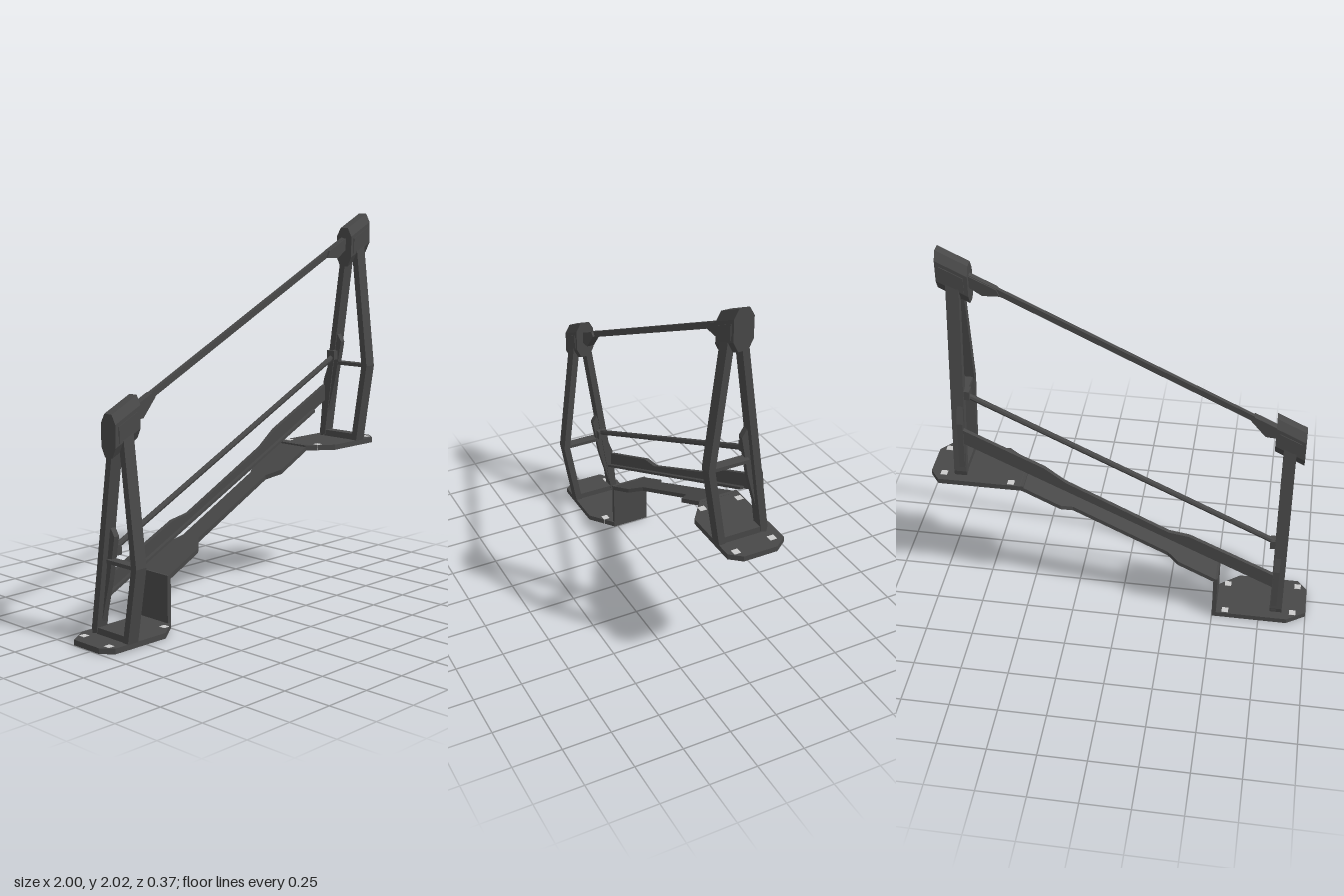
import * as THREE from 'three';

const dark = new THREE.MeshStandardMaterial({ color: 0x484848, flatShading: true });
const pale = new THREE.MeshStandardMaterial({ color: 0xcccccc, flatShading: true });
const SLOPE = 0.49;

function prism(points, depth) {
  const shape = new THREE.Shape(points.map(([a, b]) => new THREE.Vector2(a, b)));
  return new THREE.ExtrudeGeometry(shape, { depth, bevelEnabled: false }).translate(0, 0, -depth / 2);
}

// Outline in x,y with thickness along z
const frontPrism = (points, z, depth) => prism(points, depth).translate(0, 0, z);
// Outline in z,y with thickness along x
const sidePrism = (points, x, depth) => prism(points, depth).rotateY(-Math.PI / 2).translate(x, 0, 0);
// Outline in x,z with thickness along y
const planPrism = (points, y, depth) =>
  prism(points.map(([x, z]) => [x, -z]), depth).rotateX(-Math.PI / 2).translate(0, y, 0);

// Lifts each vertex by slope * distance from x0
function shear(geometry, slope, x0 = 0) {
  const p = geometry.attributes.position;
  for (let i = 0; i < p.count; i++) p.setY(i, p.getY(i) + slope * (p.getX(i) - x0));
  geometry.computeVertexNormals();
  return geometry;
}

function add(parent, name, geometry, material = dark) {
  const mesh = new THREE.Mesh(geometry, material);
  mesh.name = name;
  parent.add(mesh);
}

function rod(a, b, radius) {
  const start = new THREE.Vector3(...a), end = new THREE.Vector3(...b);
  const dir = end.clone().sub(start);
  const g = new THREE.CylinderGeometry(radius, radius, dir.length(), 8);
  g.applyQuaternion(new THREE.Quaternion().setFromUnitVectors(new THREE.Vector3(0, 1, 0), dir.normalize()));
  const mid = start.add(end).multiplyScalar(0.5);
  return g.translate(mid.x, mid.y, mid.z);
}

// One A-shaped post: side -1 is the low end, +1 the high end
function createPost(side, base, knee, top) {
  const post = new THREE.Group();
  post.name = side < 0 ? 'lowerPost' : 'upperPost';
  const x = side * 0.84;

  // Bent front leg and straight back leg
  add(post, 'frontLeg', sidePrism([
    [0.12, base], [0.185, knee], [0.105, top + 0.08], [0.07, top + 0.08],
    [0.15, knee], [0.085, base],
  ], x, 0.065));
  add(post, 'backLeg', sidePrism([
    [-0.105, base + 0.01], [0.04, top + 0.08], [0.005, top + 0.08], [-0.14, base + 0.03], [-0.135, base],
  ], x, 0.065));

  // Cross struts
  add(post, 'footStrut', sidePrism([
    [0.1, base], [0.1, base + 0.035], [-0.11, base + 0.035], [-0.11, base],
  ], x, 0.055));
  add(post, 'kneeStrut', new THREE.BoxGeometry(0.05, 0.018, 0.2).translate(x, knee, 0.065));
  add(post, 'legGusset', sidePrism([
    [0.0, knee + 0.12], [-0.025, knee + 0.16], [-0.12, knee - 0.1],
    [-0.14, knee - 0.36], [-0.11, knee - 0.36], [-0.04, knee - 0.1],
  ], x - side * 0.012, 0.03));

  // Sloped cap with a chamfered crown
  const cap = sidePrism([
    [0.03, top], [0.08, top], [0.105, top + 0.05], [0.105, top + 0.16], [0.08, top + 0.205],
    [0.03, top + 0.205], [0.005, top + 0.16], [0.005, top + 0.05],
  ], x, 0.155);
  add(post, 'cap', shear(cap, SLOPE, x));
  const seam = new THREE.BoxGeometry(0.115, 0.08, 0.108).translate(x, top + 0.1, 0.055);
  add(post, 'capPanel', shear(seam, SLOPE, x));

  // Bracket for the middle rail
  add(post, 'railBracket', new THREE.BoxGeometry(0.03, 0.05, 0.05).translate(side * 0.795, knee + 0.045, -0.045));
  return post;
}

export function createModel() {
  const railing = new THREE.Group();
  railing.name = 'stairRailing';

  railing.add(createPost(-1, 0.025, 0.4, 0.955));
  railing.add(createPost(1, 0.782, 1.2, 1.772));

  // Foot plates with fixing bolts
  for (const side of [-1, 1]) {
    const y = side < 0 ? 0.014 : 0.77;
    const back = side < 0 ? 0.9 : 0.95;
    const outline = [
      [0.5, -0.185], [back, -0.185], [1, -0.12], [1, 0.06], [0.95, 0.12], [0.63, 0.12], [0.5, 0.02],
    ].map(([x, z]) => [x * side, z]);
    const name = side < 0 ? 'lowerFootPlate' : 'upperFootPlate';
    add(railing, name, planPrism(outline, y, 0.028));
    for (const [bx, bz] of [[0.57, -0.16], [0.57, 0.045], [0.93, -0.13], [0.95, 0.075]]) {
      add(railing, 'plateBolt', new THREE.BoxGeometry(0.035, 0.032, 0.035).translate(bx * side, y, bz), pale);
    }
  }

  // Riser beside the first step
  add(railing, 'riser', new THREE.BoxGeometry(0.022, 0.27, 0.205).translate(-0.511, 0.135, -0.0825));

  // Sloping stringer, wide at both ends
  const stringer = planPrism([
    [-0.52, -0.185], [-0.31, -0.185], [-0.25, -0.15], [0.25, -0.15], [0.31, -0.185], [0.52, -0.185],
    [0.52, 0.02], [0.31, 0.02], [0.25, -0.04], [-0.25, -0.04], [-0.31, 0.02], [-0.52, 0.02],
  ], 0.513, 0.024);
  add(railing, 'stringer', shear(stringer, 0.5));

  // Kick board, deeper at both ends
  const low = (x) => 0.593 + 0.484 * x;
  const lip = (x, h) => [x, low(x) + h];
  add(railing, 'kickBoard', frontPrism([
    lip(-0.81, 0), lip(0.81, 0), lip(0.81, 0.085), lip(0.4, 0.085), lip(0.29, 0.055),
    lip(-0.25, 0.045), lip(-0.36, 0.08), lip(-0.81, 0.085),
  ], -0.118, 0.022));
  add(railing, 'kickBoardLip', frontPrism([
    lip(-0.81, 0), lip(0.7, 0), lip(0.7, 0.014), lip(-0.81, 0.014),
  ], -0.1, 0.03));

  // Middle and top rails
  add(railing, 'middleRail', rod([-0.82, 0.445, -0.045], [0.82, 1.245, -0.045], 0.015));
  const topRail = new THREE.BoxGeometry(1.56, 0.034, 0.022).translate(0, 1.497, 0.045);
  add(railing, 'topRail', shear(topRail, SLOPE));

  // Gussets under the ends of the top rail
  add(railing, 'lowerRailGusset', frontPrism([
    [-0.775, 1.075], [-0.71, 1.08], [-0.63, 1.175], [-0.65, 1.195], [-0.775, 1.135],
  ], 0.047, 0.04));
  add(railing, 'upperRailGusset', frontPrism([
    [0.615, 1.785], [0.7, 1.782], [0.775, 1.83], [0.775, 1.89], [0.63, 1.82],
  ], 0.047, 0.04));

  return railing;
}
